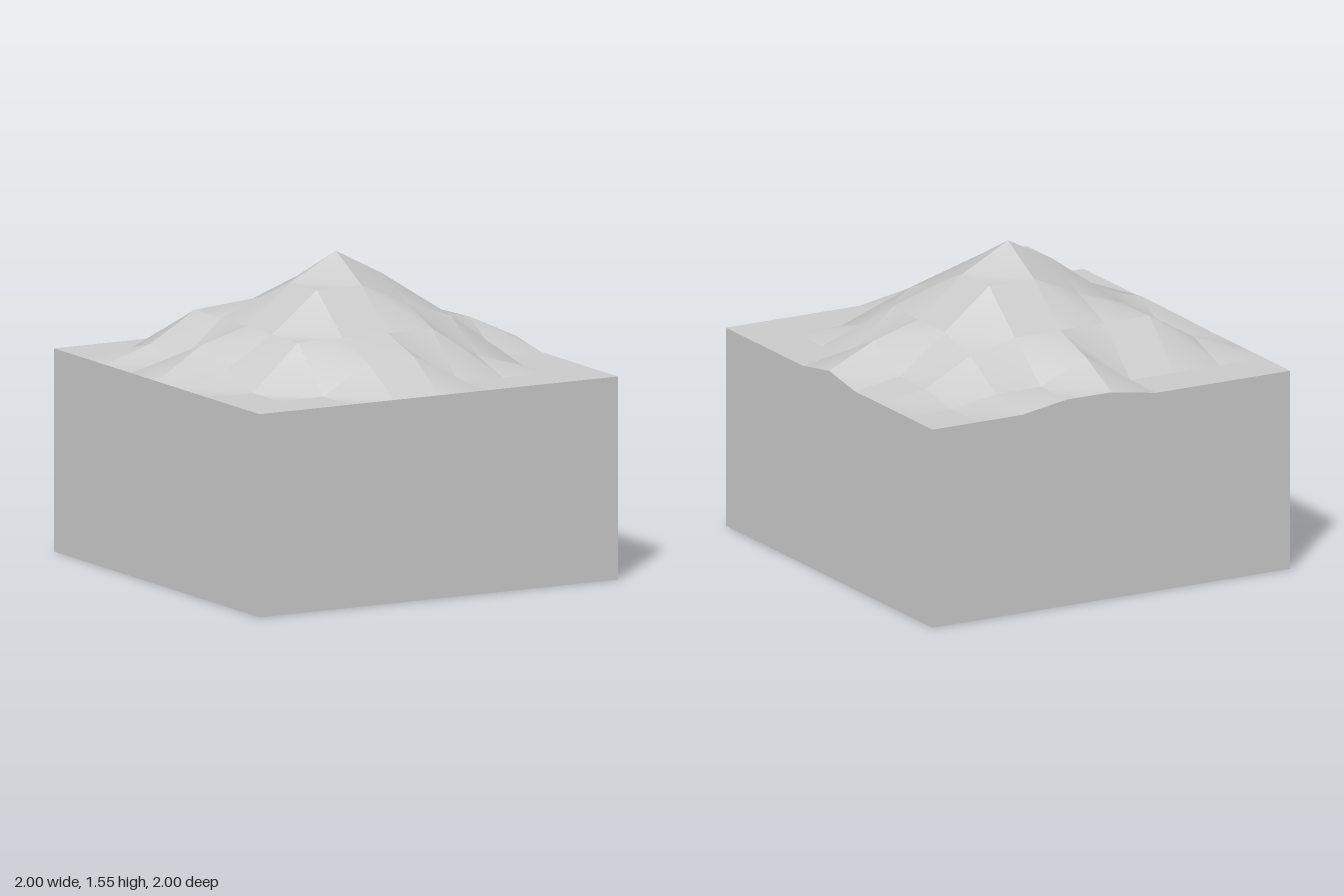
import * as THREE from 'three';

const N = 8, STEP = 0.25, GROUND = 1;

// Height of the hill above the ground: rows run back to front, columns along +x
const HILL = [
  [0, 0, 0, 0, 0.04, 0.04, 0, 0, 0],
  [0, 0, 0, 0, 0.155, 0.04, 0.04, 0, 0],
  [0, 0.08, 0.225, 0.225, 0.225, 0.225, 0.17, 0.04, 0],
  [0, 0, 0.225, 0.31, 0.42, 0.42, 0.225, 0.04, 0],
  [0, 0.155, 0.225, 0.42, 0.55, 0.42, 0.225, 0.155, 0.04],
  [0, 0.08, 0.225, 0.42, 0.42, 0.31, 0.225, 0, 0],
  [0, 0, 0.225, 0.225, 0.225, 0.225, 0.07, 0, 0],
  [0, 0, 0, 0.14, 0.155, 0, 0, 0, 0],
  [0, 0, 0, 0, 0, 0, 0, 0, 0],
];

const top = (i, j) => [i * STEP - 1, GROUND + HILL[j][i], j * STEP - 1];
const foot = (i, j) => [i * STEP - 1, 0, j * STEP - 1];

// Faceted mesh: every quad owns its corners, so each gets one flat normal
function quadMesh(name, quads, material) {
  const position = [], index = [];
  quads.forEach((quad, q) => {
    position.push(...quad.flat());
    index.push(...[0, 1, 2, 0, 2, 3].map((k) => q * 4 + k));
  });
  const geometry = new THREE.BufferGeometry();
  geometry.setAttribute('position', new THREE.Float32BufferAttribute(position, 3));
  geometry.setIndex(index);
  geometry.computeVertexNormals();
  const mesh = new THREE.Mesh(geometry, material);
  mesh.name = name;
  return mesh;
}

export function createModel() {
  const group = new THREE.Group();
  group.name = 'terrainBlock';
  const material = new THREE.MeshStandardMaterial({ color: 0xcccccc });

  // Hill surface
  const surface = [];
  for (let j = 0; j < N; j++) {
    for (let i = 0; i < N; i++) {
      surface.push([top(i, j), top(i, j + 1), top(i + 1, j + 1), top(i + 1, j)]);
    }
  }
  group.add(quadMesh('hillSurface', surface, material));

  // Side walls follow the rim of the hill, counter-clockwise seen from above
  const walls = {
    frontWall: (k) => [k, N],
    leftWall: (k) => [N, N - k],
    backWall: (k) => [N - k, 0],
    rightWall: (k) => [0, k],
  };
  for (const [name, at] of Object.entries(walls)) {
    const strip = [];
    for (let k = 0; k < N; k++) {
      const a = at(k), b = at(k + 1);
      strip.push([foot(...a), foot(...b), top(...b), top(...a)]);
    }
    group.add(quadMesh(name, strip, material));
  }

  // Underside
  group.add(quadMesh('underside', [[foot(0, 0), foot(N, 0), foot(N, N), foot(0, N)]], material));
  return group;
}
